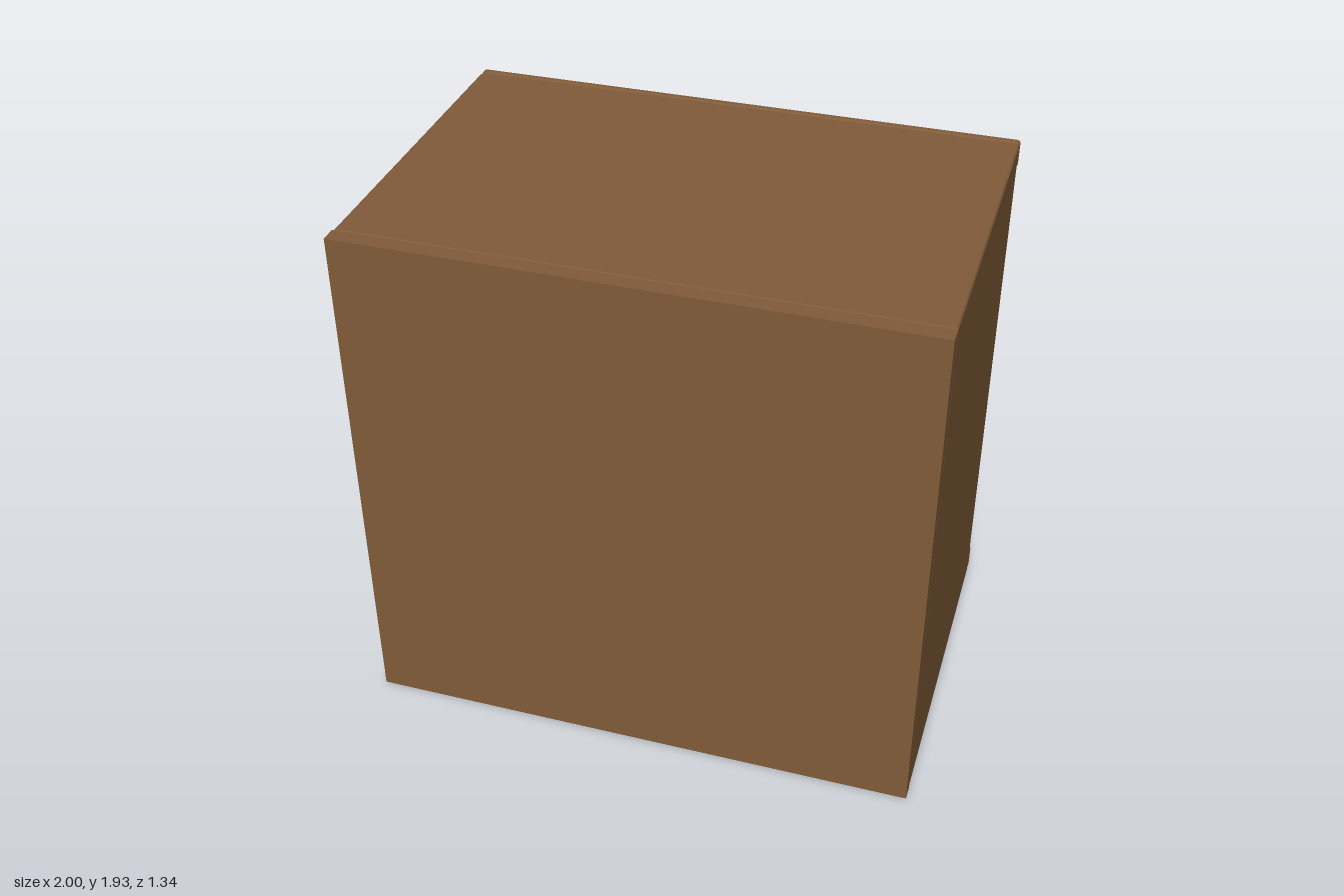
import * as THREE from 'three';
import { RoundedBoxGeometry } from 'three/addons/geometries/RoundedBoxGeometry.js';

const wood = new THREE.MeshStandardMaterial({ color: 0x805b39 });
wood.name = 'brown wood';
const brass = new THREE.MeshStandardMaterial({ color: 0xa88f3c });
brass.name = 'dull brass';

// Box given by its min and max corners, with optionally rounded edges
function block(name, min, max, radius, material = wood) {
  const size = max.map((v, i) => v - min[i]);
  const geometry = radius
    ? new RoundedBoxGeometry(...size, 3, radius)
    : new THREE.BoxGeometry(...size);
  const mesh = new THREE.Mesh(geometry, material);
  mesh.name = name;
  mesh.position.set(...max.map((v, i) => (v + min[i]) / 2));
  return mesh;
}

export function createModel() {
  const group = new THREE.Group();
  group.name = 'openCabinet';
  const H = 1.93, T = 0.1, R = 0.012;
  const back = -0.62, front = 0.612;

  // Closed front board
  group.add(block('frontPanel', [-1, 0, 0.612], [1, H, 0.67], 0));

  // Floor and ceiling slabs, each with a rounded trim along the open back
  for (const [name, y] of [['bottom', 0], ['top', H - T]]) {
    group.add(block(name + 'Panel', [-1, y, back], [0.99, y + T, front], R));
    group.add(block(name + 'Trim', [-1, y, -0.657], [1, y + T, -0.625], R));
  }

  // Left side is flush and full height; right side is inset between the slabs
  group.add(block('leftSide', [0.92, 0, back], [1, H, front], R));
  group.add(block('rightSide', [-0.9, T - 0.015, back], [-0.82, H - T + 0.015, front], R));

  // Plain plate on the lower trim
  group.add(block('brassPlate', [-0.175, 0.02, -0.67], [0.175, 0.09, -0.655], 0, brass));
  return group;
}
